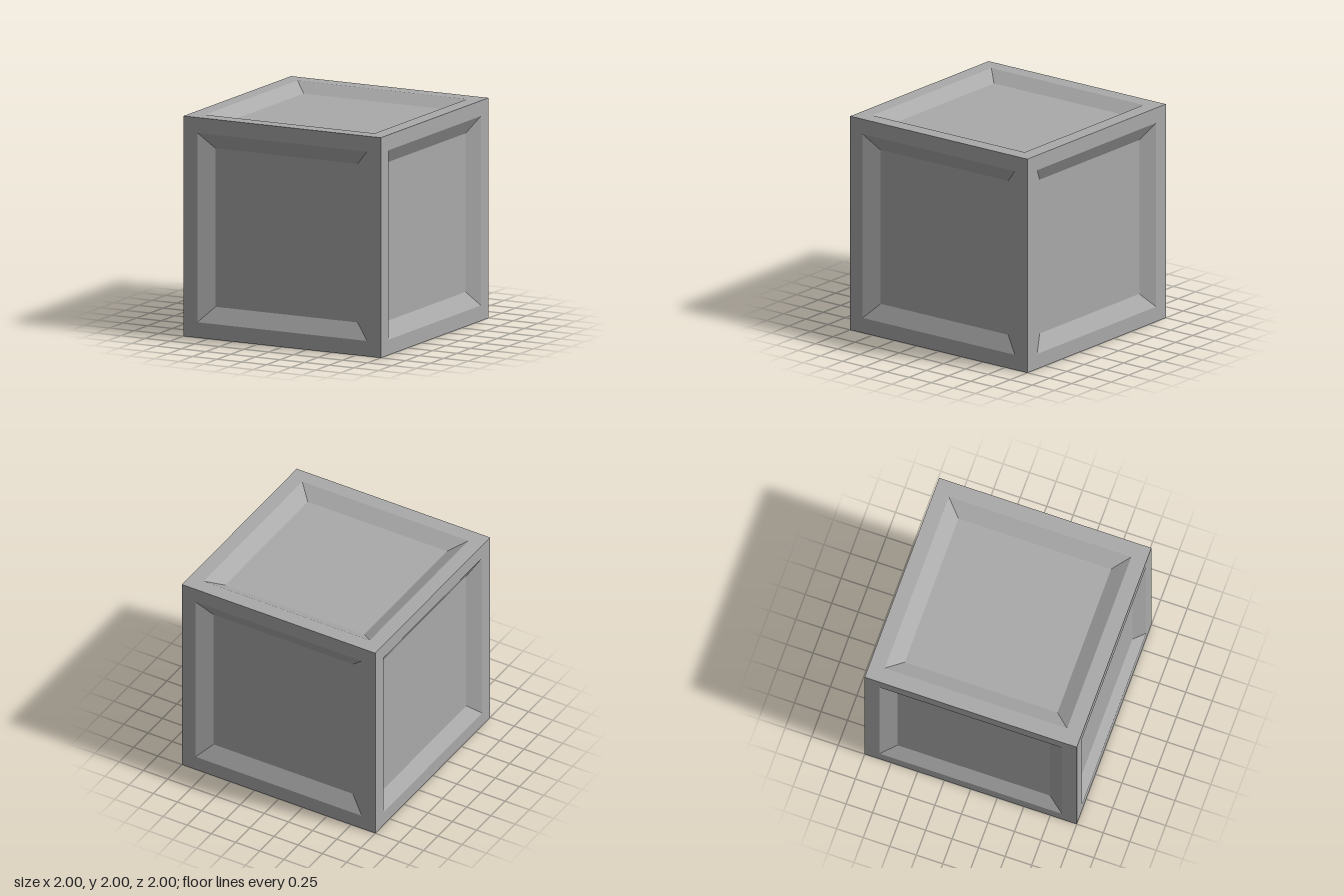
import * as THREE from 'three';

// Square loops of one side, from the outer edge inwards: [half width, z]
const RIM = [1, 1];
const LIP = [0.86, 1];
const FLOOR = [0.72, 0.92];

const corners = ([h, z]) => [[-h, -h, z], [h, -h, z], [h, h, z], [-h, h, z]];

function quads(list) {
  const positions = [];
  for (const [a, b, c, d] of list) positions.push(...a, ...b, ...c, ...a, ...c, ...d);
  const geometry = new THREE.BufferGeometry();
  geometry.setAttribute('position', new THREE.Float32BufferAttribute(positions, 3));
  geometry.computeVertexNormals();
  return geometry;
}

// Four mitred strips between two square loops
function ring(outer, inner) {
  const o = corners(outer);
  const i = corners(inner);
  return quads(o.map((p, k) => {
    const n = (k + 1) % 4;
    return [p, o[n], i[n], i[k]];
  }));
}

export function createModel() {
  const grey = new THREE.MeshStandardMaterial({ color: 0xaaaaaa, flatShading: true });
  grey.name = 'grey';

  const parts = {
    Frame: ring(RIM, LIP),
    Bevel: ring(LIP, FLOOR),
    Panel: quads([corners(FLOOR)]),
  };

  // Each side is the same recessed panel turned about the cube's centre
  const q = Math.PI / 2;
  const sides = {
    front: [0, 0],
    left: [0, q],
    back: [0, 2 * q],
    right: [0, -q],
    top: [-q, 0],
    bottom: [q, 0],
  };

  const model = new THREE.Group();
  model.name = 'panelledCube';
  for (const [name, [rx, ry]] of Object.entries(sides)) {
    const side = new THREE.Group();
    side.name = name + 'Side';
    for (const [part, geometry] of Object.entries(parts)) {
      const mesh = new THREE.Mesh(geometry, grey);
      mesh.name = name + part;
      side.add(mesh);
    }
    side.rotation.set(rx, ry, 0);
    side.position.y = 1;
    model.add(side);
  }
  return model;
}
